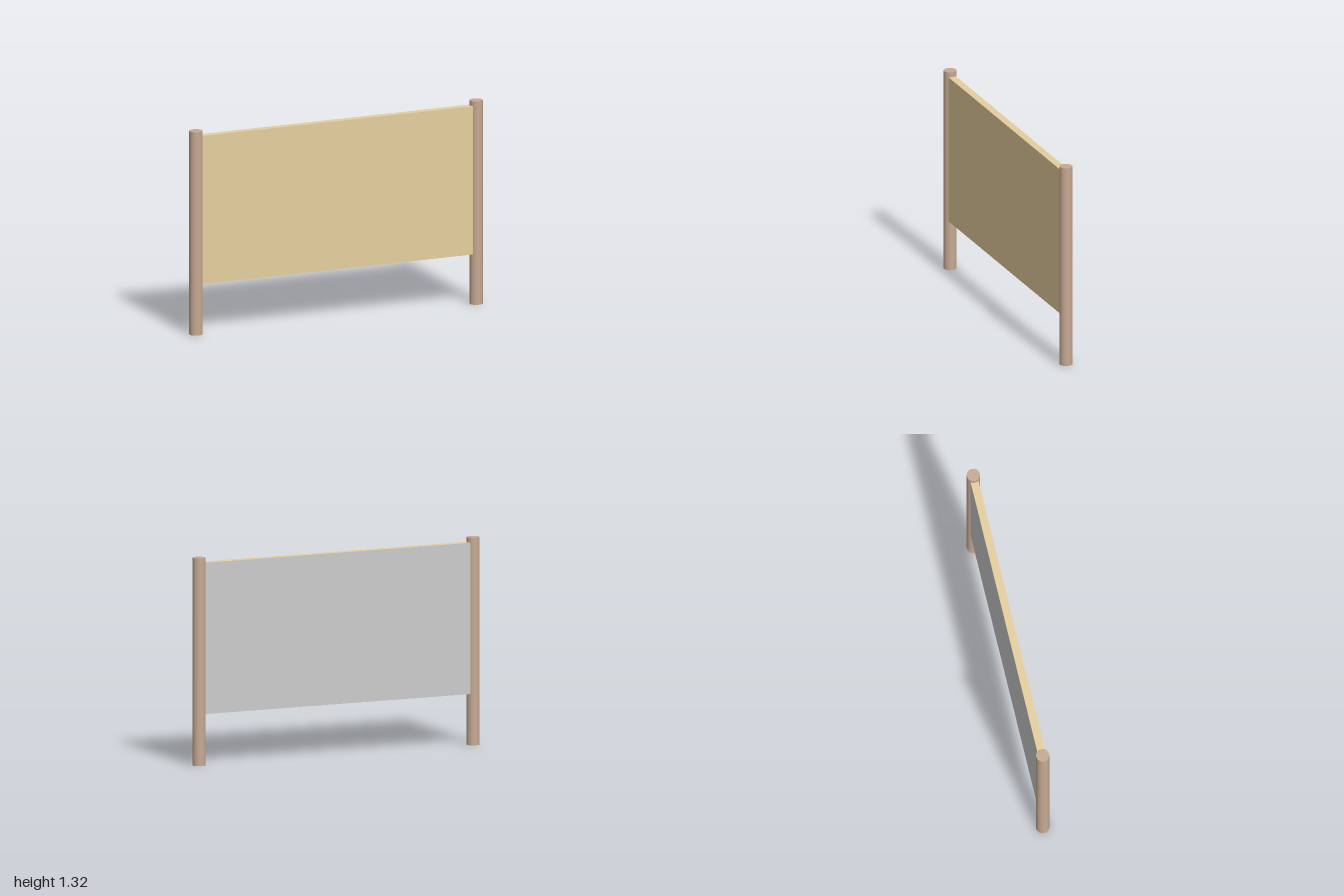
import * as THREE from 'three';

const POST_X = 0.9585, POST_R = 0.0415, POST_H = 1.315;
const BOARD_BOTTOM = 0.325, BOARD_TOP = 1.283, BOARD_DEPTH = 0.05;

export function createModel() {
  const model = new THREE.Group();
  model.name = 'noticeBoard';

  const postMaterial = new THREE.MeshStandardMaterial({ color: 0xc7a993 });
  const boardMaterial = new THREE.MeshStandardMaterial({ color: 0xe5cf9e });
  const backMaterial = new THREE.MeshStandardMaterial({ color: 0xcccccc });

  const add = (name, geometry, material, x, y, z) => {
    const mesh = new THREE.Mesh(geometry, material);
    mesh.name = name;
    mesh.position.set(x, y, z);
    model.add(mesh);
  };

  // Round posts standing on the ground
  const postGeometry = new THREE.CylinderGeometry(POST_R, POST_R, POST_H, 32);
  add('leftPost', postGeometry, postMaterial, POST_X, POST_H / 2, 0);
  add('rightPost', postGeometry, postMaterial, -POST_X, POST_H / 2, 0);

  // Board let into the posts
  const width = 2 * POST_X;
  const height = BOARD_TOP - BOARD_BOTTOM;
  const midY = (BOARD_TOP + BOARD_BOTTOM) / 2;
  add('board', new THREE.BoxGeometry(width, height, BOARD_DEPTH), boardMaterial, 0, midY, 0);

  // Grey facing on the rear of the board
  const backGeometry = new THREE.PlaneGeometry(width, height).rotateY(Math.PI);
  add('backFacing', backGeometry, backMaterial, 0, midY, -BOARD_DEPTH / 2 - 0.001);

  return model;
}
